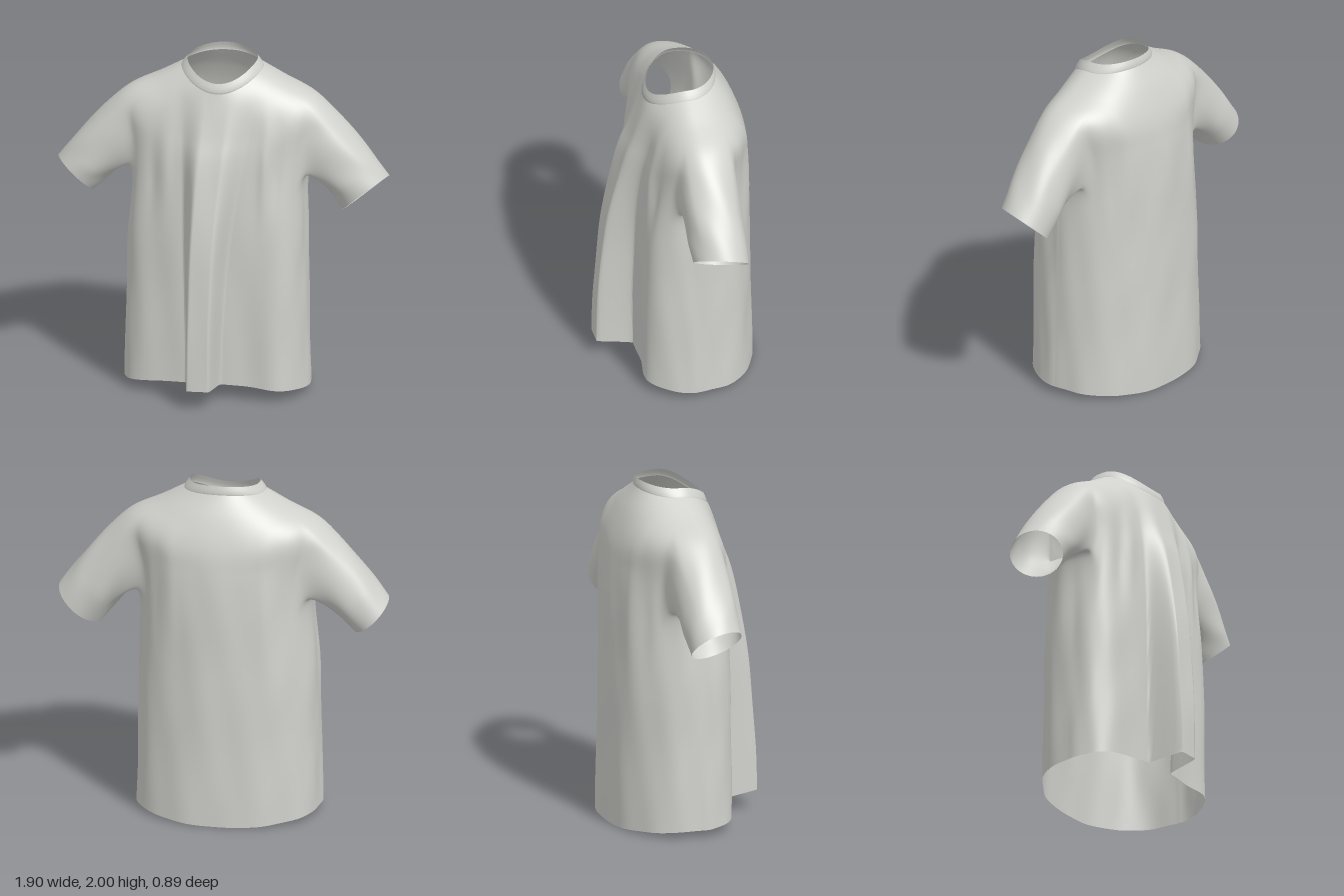
import * as THREE from 'three';

const N = 400;      // columns around the body
const STEP = 10;    // rows between two key rings
const K = 33;       // half width of an armhole, in columns
const ZC = -0.05;

// Key rings: half width, front z, back z, squareness, side y, front y, back y
const RINGS = [
  [0.533, 0.24, -0.445, 3.0, 0.04, 0.095, 0.0],
  [0.522, 0.24, -0.44, 3.0, 0.45, 0.45, 0.45],
  [0.512, 0.24, -0.435, 3.0, 0.9, 0.9, 0.9],
  [0.497, 0.228, -0.427, 3.0, 1.375, 1.25, 1.28],
  [0.52, 0.213, -0.412, 2.9, 1.565, 1.45, 1.52],
  [0.57, 0.192, -0.388, 2.6, 1.755, 1.58, 1.66],
  [0.40, 0.174, -0.325, 2.2, 1.84, 1.74, 1.82],
  [0.235, 0.165, -0.245, 2.0, 1.93, 1.83, 1.95],
];
const ARM_LOW = 3 * STEP, ARM_HIGH = 5 * STEP, TOP = (RINGS.length - 1) * STEP;

const smooth = THREE.MathUtils.smoothstep;
const bell = (v, c, w) => Math.exp(-(((v - c) / w) ** 2));

function ringPoint([w, zf, zb, n, yS, yF, yB], a) {
  const c = Math.cos(a), s = Math.sin(a);
  const m = s < 0 ? Math.min(n, 2.2) : n;
  const r = 1 / (Math.abs(c) ** m + Math.abs(s) ** m) ** (1 / m);
  const depth = s > 0 ? zf - ZC : ZC - zb;
  const y = yS * c * c + (s > 0 ? yF : yB) * s * s;
  return new THREE.Vector3(w * r * c, y, ZC + depth * r * s);
}

// Big front fold, lumps over the hips and soft cloth wrinkles
function drape(p, a) {
  const { x, y } = p, c = Math.cos(a), s = Math.sin(a);
  const fade = 1 - smooth(y, 1.35, 1.85);
  const low = 1 - smooth(y, 0.6, 1.8);
  const k = (y / 1.87) ** 2;
  if (s > 0) {
    const fold = smooth(x, -0.142 - 0.08 * k, -0.108 + 0.05 * k)
      * (1 - smooth(x, 0.015 + 0.05 * k, 0.06 + 0.2 * k));
    p.z += 0.205 * Math.max(0, 1 - k) * fold;
    p.y += 0.022 * fold * low;
    p.z += low * (0.045 * bell(x, 0.39, 0.13) - 0.022 * bell(x, -0.31, 0.12));
    // Creases running up from the armpits
    p.z += bell(y, 1.4, 0.25) * (0.012 * bell(x, 0.29, 0.03) - 0.014 * bell(x, 0.36, 0.035)
      - 0.012 * bell(x, -0.36, 0.035) + 0.01 * bell(x, -0.28, 0.04));
  } else {
    p.z += bell(y, 1.35, 0.3) * (0.012 * bell(Math.abs(x), 0.36, 0.04) - 0.006 * bell(Math.abs(x), 0.27, 0.04));
  }
  const d = fade * (0.003 * Math.sin(9 * a + 2.2 * y) + 0.0015 * Math.sin(15 * a - 5 * y + 1)
    + 0.002 * Math.sin(11 * y + 6 * a) * Math.sin(5 * a));
  p.x += d * c - 0.024 * (1 - smooth(y, 0.7, 1.9));
  p.z += d * s;
  return p;
}

// Evens out the cloth around both armholes by averaging neighbours
function relaxShoulders(positions, index) {
  const count = positions.length / 3;
  const amount = Array.from({ length: count }, (_, i) => {
    const [x, y, z] = positions.slice(i * 3, i * 3 + 3);
    return 0.6 * (1 - smooth(Math.hypot(Math.abs(x) - 0.52, y - 1.56, z + 0.07), 0.23, 0.4));
  });
  for (let pass = 0; pass < 30; pass++) {
    const sum = new Float64Array(count * 3), links = new Float64Array(count);
    for (let t = 0; t < index.length; t++) {
      const from = index[t], to = index[t % 3 === 2 ? t - 2 : t + 1];
      links[from]++;
      for (let c = 0; c < 3; c++) sum[from * 3 + c] += positions[to * 3 + c];
    }
    for (let i = 0; i < count; i++) {
      if (amount[i] === 0) continue;
      for (let c = 0; c < 3; c++) {
        positions[i * 3 + c] += amount[i] * (sum[i * 3 + c] / links[i] - positions[i * 3 + c]);
      }
    }
  }
}

export function createModel() {
  const shirt = new THREE.Group();
  shirt.name = 'shirt';
  const cloth = new THREE.MeshStandardMaterial({ color: 0xd0d0cc, side: THREE.DoubleSide });
  cloth.name = 'light grey cloth';

  const positions = [];
  const add = (p) => positions.push(p.x, p.y, p.z) / 3 - 1;
  const point = (i) => new THREE.Vector3().fromArray(positions, i * 3);
  const quad = (out, a, b, c, d) => out.push(a, b, c, c, b, d);

  // Body: one curve per column from hem to neckline
  const grid = [];
  for (let j = 0; j < N; j++) {
    const a = (j / N) * Math.PI * 2;
    const curve = new THREE.CatmullRomCurve3(RINGS.map((ring) => ringPoint(ring, a)));
    grid.push(Array.from({ length: TOP + 1 }, (_, r) => add(drape(curve.getPoint(r / TOP), a))));
  }
  const at = (j, r) => grid[(j + N) % N][r];
  const bodyIndex = [];
  for (let j = 0; j < N; j++) {
    const fromSide = Math.min(Math.abs(j + 0.5 - N / 2), j + 0.5, N - j - 0.5);
    for (let r = 0; r < TOP; r++) {
      if (fromSide < K && r >= ARM_LOW && r < ARM_HIGH) continue; // armholes
      quad(bodyIndex, at(j, r), at(j, r + 1), at(j + 1, r), at(j + 1, r + 1));
    }
  }

  // Sleeves: from the armhole edge through rounded rings to a tilted oval cuff
  function sleeve(centre, upper, lower) {
    const loop = [];
    for (let j = K; j > -K; j--) loop.push(at(centre + j, ARM_LOW));
    for (let r = ARM_LOW; r < ARM_HIGH; r++) loop.push(at(centre - K, r));
    for (let j = -K; j < K; j++) loop.push(at(centre + j, ARM_HIGH));
    for (let r = ARM_HIGH; r > ARM_LOW; r--) loop.push(at(centre + K, r));
    const side = Math.sign(upper[0]);
    const mid = [(upper[0] + lower[0]) / 2, (upper[1] + lower[1]) / 2];
    const half = [(upper[0] - lower[0]) / 2, (upper[1] - lower[1]) / 2];
    const rows = 30, rings = [loop];
    for (let k = 1; k <= rows; k++) {
      const t = k / rows;
      rings.push(loop.map((i) => {
        const edge = point(i);
        const th = Math.atan2((edge.z + 0.07) / 0.18, (edge.y - 1.56) / 0.2);
        const c = Math.cos(th), s = Math.sin(th);
        const root = new THREE.Vector3(side * (0.525 + 0.05 * c - 0.02 * s * s), 1.555 + 0.21 * c, -0.065 + 0.19 * s);
        const cuff = new THREE.Vector3(
          mid[0] + half[0] * c - side * 0.022 * s, mid[1] + half[1] * c + 0.022 * s, -0.068 + 0.155 * s);
        const p = root.clone().lerp(cuff, t).addScaledVector(edge.sub(root), (1 - t) ** 4);
        const d = Math.sin(Math.PI * t) * (0.012 * c + 0.004 * Math.sin(5 * th + 7 * t));
        p.x += side * d * c * 0.7;
        p.y += d * c * 0.7;
        p.z += d * s;
        return add(p);
      }));
    }
    const index = [];
    for (let k = 0; k < rows; k++) {
      for (let i = 0; i < loop.length; i++) {
        const n = (i + 1) % loop.length;
        quad(index, rings[k][i], rings[k][n], rings[k + 1][i], rings[k + 1][n]);
      }
    }
    return index;
  }
  const leftIndex = sleeve(0, [0.95, 1.3], [0.7, 1.09]);
  const rightIndex = sleeve(N / 2, [-0.95, 1.32], [-0.745, 1.13]);

  // Shared normals keep the armhole seams smooth
  const allIndex = [...bodyIndex, ...leftIndex, ...rightIndex];
  relaxShoulders(positions, allIndex);
  const whole = new THREE.BufferGeometry();
  whole.setAttribute('position', new THREE.Float32BufferAttribute(positions, 3));
  whole.setIndex(allIndex);
  whole.computeVertexNormals();
  const parts = { body: bodyIndex, leftSleeve: leftIndex, rightSleeve: rightIndex };
  for (const [name, index] of Object.entries(parts)) {
    const geometry = new THREE.BufferGeometry();
    geometry.setAttribute('position', whole.getAttribute('position'));
    geometry.setAttribute('normal', whole.getAttribute('normal'));
    geometry.setIndex(index);
    const mesh = new THREE.Mesh(geometry, cloth);
    mesh.name = name;
    shirt.add(mesh);
  }

  // Collar: a flat band leaning in to the neck opening
  const band = [
    [0.235, 0.165, -0.245, 2, 1.93, 1.83, 1.95],
    [0.232, 0.167, -0.247, 2, 1.938, 1.84, 1.96],
    [0.218, 0.16, -0.243, 2, 1.958, 1.862, 1.98],
    [0.202, 0.15, -0.236, 2, 1.978, 1.885, 2.0],
  ];
  const collarPos = [], collarIndex = [];
  band.forEach((ring, r) => {
    for (let j = 0; j < N; j++) {
      collarPos.push(...ringPoint(ring, (j / N) * Math.PI * 2).toArray());
      if (r === band.length - 1) continue;
      const a = r * N + j, b = r * N + ((j + 1) % N);
      quad(collarIndex, a, a + N, b, b + N);
    }
  });
  const collarGeometry = new THREE.BufferGeometry();
  collarGeometry.setAttribute('position', new THREE.Float32BufferAttribute(collarPos, 3));
  collarGeometry.setIndex(collarIndex);
  collarGeometry.computeVertexNormals();
  const collar = new THREE.Mesh(collarGeometry, cloth);
  collar.name = 'collar';
  shirt.add(collar);

  return shirt;
}
